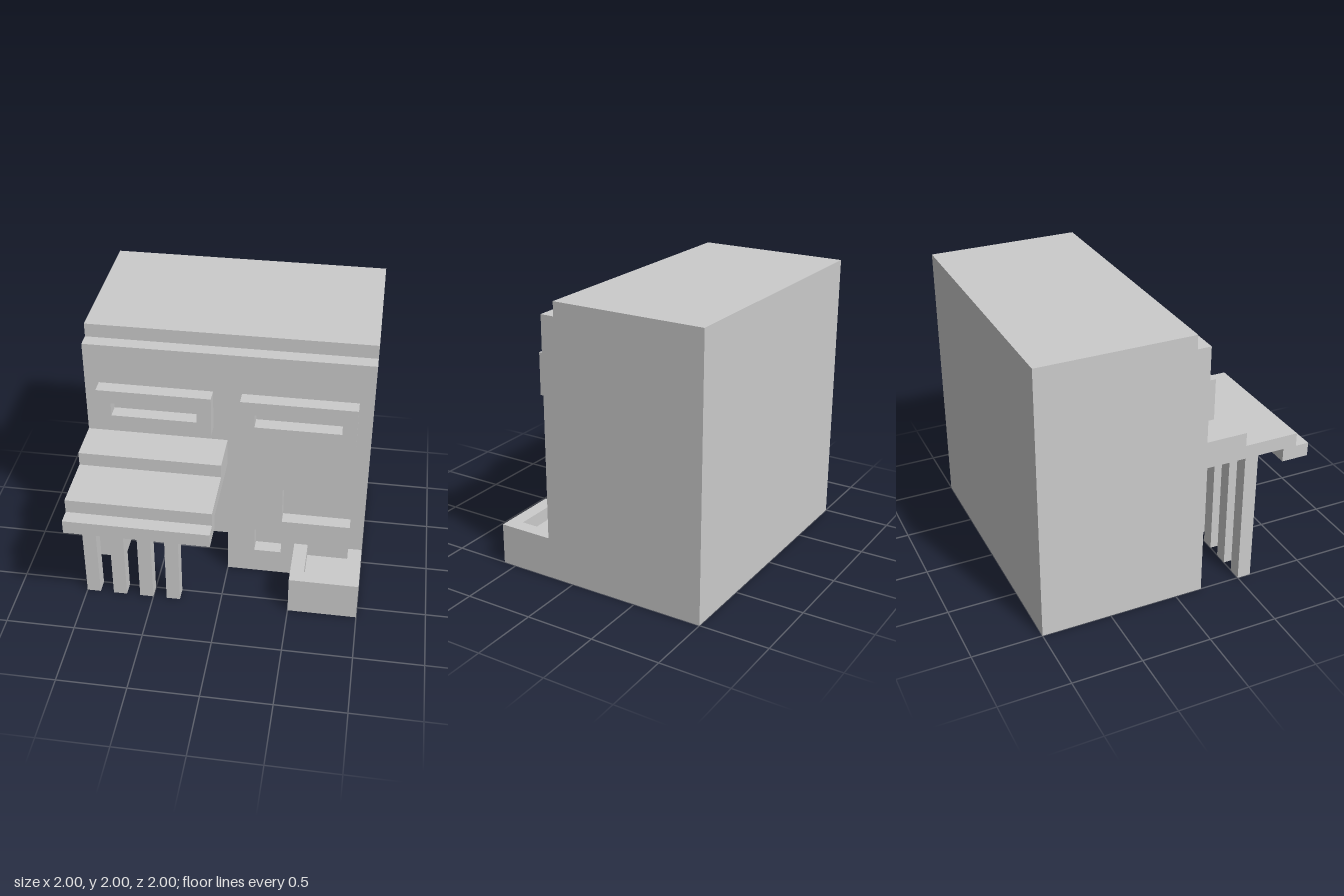
import * as THREE from 'three';

const material = new THREE.MeshStandardMaterial({ color: 0xcccccc, flatShading: true });

const polygon = (points) => new THREE.Shape(points.map(([x, y]) => new THREE.Vector2(x, y)));
const corners = (x0, x1, y0, y1) => [[x0, y0], [x1, y0], [x1, y1], [x0, y1]];

function extrude(points, depth, holes = []) {
  const shape = polygon(points);
  for (const h of holes) shape.holes.push(polygon(corners(...h)));
  return new THREE.ExtrudeGeometry(shape, { depth, bevelEnabled: false });
}

export function createModel() {
  const model = new THREE.Group();

  function add(name, geometry, x = 0, y = 0, z = 0) {
    const mesh = new THREE.Mesh(geometry, material);
    mesh.name = name;
    mesh.position.set(x, y, z);
    model.add(mesh);
  }

  function box(name, x0, x1, y0, y1, z0, z1) {
    add(name, new THREE.BoxGeometry(x1 - x0, y1 - y0, z1 - z0),
      (x0 + x1) / 2, (y0 + y1) / 2, (z0 + z1) / 2);
  }

  // Wall outline with the doorway cut in from the ground
  const wall = (top) => [
    [-1, 0], [-0.8, 0], [-0.8, 0.8], [0, 0.8], [0, 0], [1, 0], [1, top], [-1, top],
  ];

  // Building: solid back, wall around the porch recess, facade with sunk windows
  box('mainBlock', -1, 1, 0, 2, -1, -0.2);
  add('porchWall', extrude(wall(2), 0.3), 0, 0, -0.2);
  add('facade', extrude(wall(1.9), 0.1, [[0.4, 0.9, 0.5, 0.8], [0.2, 0.4, 0.2, 0.4]]), 0, 0, 0.1);

  // Door screen: hangs above the ground, with a slot on each side of the door
  add('doorScreen', extrude([
    [-0.8, 0.4], [-0.7, 0.4], [-0.7, 0.7], [-0.6, 0.7], [-0.6, 0.3], [-0.2, 0.3],
    [-0.2, 0.7], [-0.1, 0.7], [-0.1, 0.4], [0, 0.4], [0, 0.8], [-0.8, 0.8],
  ], 0.1));

  // Upper window frames
  for (const [name, x] of [['rightWindowFrame', -0.5], ['leftWindowFrame', 0.5]]) {
    add(name, extrude(corners(-0.4, 0.4, 1.3, 1.6), 0.1, [[-0.3, 0.3, 1.4, 1.5]]), x, 0, 0.2);
  }

  // Stepped awning, profile drawn as (z, y) and run along x
  const awning = extrude([
    [0.2, 1], [0.8, 1], [0.8, 0.9], [1, 0.9], [1, 1],
    [0.9, 1], [0.9, 1.1], [0.5, 1.1], [0.5, 1.2], [0.2, 1.2],
  ], 1);
  awning.rotateY(-Math.PI / 2);
  add('awning', awning);

  // Awning posts
  for (let i = 0; i < 4; i++) {
    const x = -1 + i * 0.2;
    box('awningPost', x, x + 0.1, 0, 1, 0.5, 0.6);
  }

  // Planter: base with a U-shaped rim open to the wall, drawn as (x, -z)
  box('planterBase', 0.5, 1, 0, 0.2, 0.2, 0.6);
  const rim = extrude([
    [0.5, -0.2], [0.5, -0.6], [1, -0.6], [1, -0.2],
    [0.9, -0.2], [0.9, -0.5], [0.6, -0.5], [0.6, -0.2],
  ], 0.1);
  rim.rotateX(-Math.PI / 2);
  add('planterRim', rim, 0, 0.2, 0);

  return model;
}
